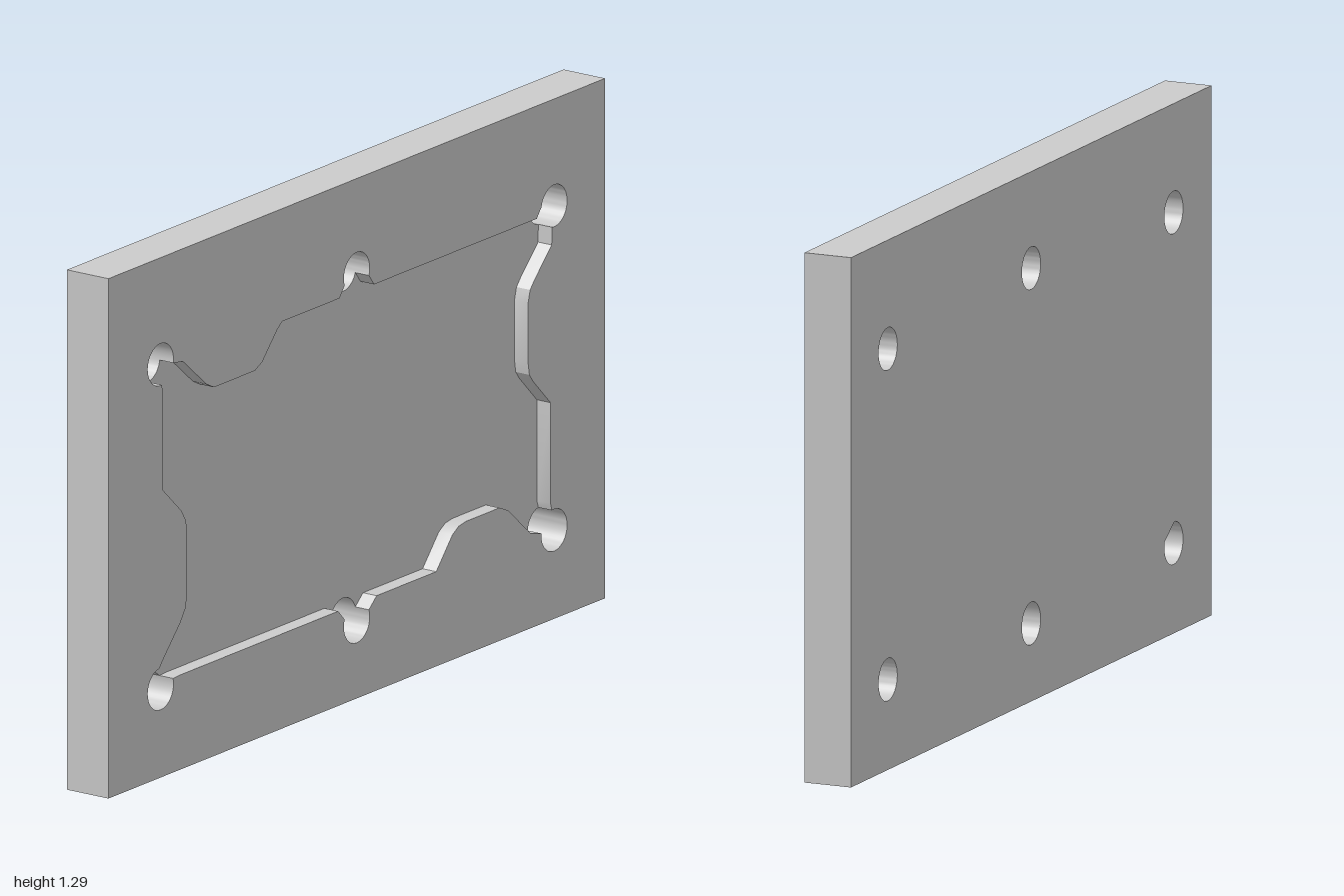
import * as THREE from 'three';
import { mergeGeometries, toCreasedNormals } from 'three/addons/utils/BufferGeometryUtils.js';

const W = 2, H = 1.29, T = 0.122, DEPTH = 0.04, R = 0.052;
const FLOOR = T / 2 - DEPTH;

// Bolt holes, clockwise from top left. The pocket outline meets each hole at
// angle "from" and leaves it at "to" (degrees); "edge" is the outline to the next hole.
const HOLES = [
  { x: -0.79, y: 1.025, from: 275, to: -10, edge: [[-0.7, 1.01], [-0.605, 0.93], [-0.575, 0.915],
    [-0.41, 0.915], [-0.38, 0.93], [-0.32, 0.995], [-0.3, 1.01], [-0.07, 1.01]] },
  { x: 0, y: 1.055, from: 200, to: -20, edge: [[0.07, 1.01], [0.725, 1.01]] },
  { x: 0.795, y: 1.025, from: 170, to: -100, edge: [[0.785, 0.93], [0.715, 0.86], [0.698, 0.84], [0.69, 0.81],
    [0.69, 0.66], [0.695, 0.63], [0.71, 0.61], [0.78, 0.54], [0.78, 0.29]] },
  { x: 0.795, y: 0.22, from: 100, to: -185, edge: [[0.7, 0.235], [0.61, 0.315], [0.575, 0.33],
    [0.44, 0.33], [0.41, 0.325], [0.385, 0.31], [0.32, 0.235], [0.08, 0.235]] },
  { x: 0, y: 0.19, from: 20, to: -200, edge: [[-0.075, 0.235], [-0.715, 0.235]] },
  { x: -0.79, y: 0.22, from: 15, to: -265, flat: true, edge: [[-0.78, 0.29], [-0.71, 0.365], [-0.69, 0.395], [-0.683, 0.43],
    [-0.683, 0.59], [-0.69, 0.615], [-0.705, 0.64], [-0.78, 0.71], [-0.78, 0.95]] },
];

function arc(h, a0, a1, steps) {
  return Array.from({ length: steps + 1 }, (_, i) => {
    const a = THREE.MathUtils.degToRad(a0 + ((a1 - a0) * i) / steps);
    return new THREE.Vector2(h.x + R * Math.cos(a), h.y + R * Math.sin(a));
  });
}
const outerArc = (h) => arc(h, h.from, h.to, 32);
const innerArc = (h) => arc(h, h.from, h.to + 360, h.flat ? 1 : 12);

// Full loop of one hole
const holeLoop = (h) => [...outerArc(h), ...innerArc(h).reverse().slice(1, -1)];

// Pocket outline passing outside or inside the holes
const pocketLoop = (holeArc) =>
  HOLES.flatMap((h) => [...holeArc(h), ...h.edge.map(([x, y]) => new THREE.Vector2(x, y))]);

function plateShape(loops) {
  const s = new THREE.Shape([[-W / 2, 0], [W / 2, 0], [W / 2, H], [-W / 2, H]].map(([x, y]) => new THREE.Vector2(x, y)));
  s.holes = loops.map((pts) => new THREE.Path(pts));
  return s;
}

// Extruded layer with its cap on the shared inner plane removed
function layer(shape, z, depth) {
  const g = new THREE.ExtrudeGeometry(shape, { depth, bevelEnabled: false });
  g.translate(0, 0, z);
  const p = g.attributes.position, keep = [];
  for (let i = 0; i < p.count; i += 3) {
    const onPlane = [0, 1, 2].every((k) => Math.abs(p.getZ(i + k) - FLOOR) < 1e-5);
    if (!onPlane) for (let k = 0; k < 3; k++) keep.push(p.getX(i + k), p.getY(i + k), p.getZ(i + k));
  }
  return new THREE.BufferGeometry().setAttribute('position', new THREE.Float32BufferAttribute(keep, 3));
}

export function createModel() {
  const group = new THREE.Group();
  group.name = 'mountingPlate';
  const material = new THREE.MeshStandardMaterial({ color: 0xcccccc });

  // Plate body: front rim around the pocket, plus the drilled back
  const body = mergeGeometries([
    layer(plateShape([pocketLoop(outerArc)]), FLOOR, DEPTH),
    layer(plateShape(HOLES.map(holeLoop)), -T / 2, T - DEPTH),
  ]);
  const plate = new THREE.Mesh(toCreasedNormals(body, 0.4), material);
  plate.name = 'plateBody';

  // Pocket floor
  const floor = new THREE.Mesh(new THREE.ShapeGeometry(new THREE.Shape(pocketLoop(innerArc))), material);
  floor.name = 'pocketFloor';
  floor.position.z = FLOOR;

  group.add(plate, floor);
  return group;
}
